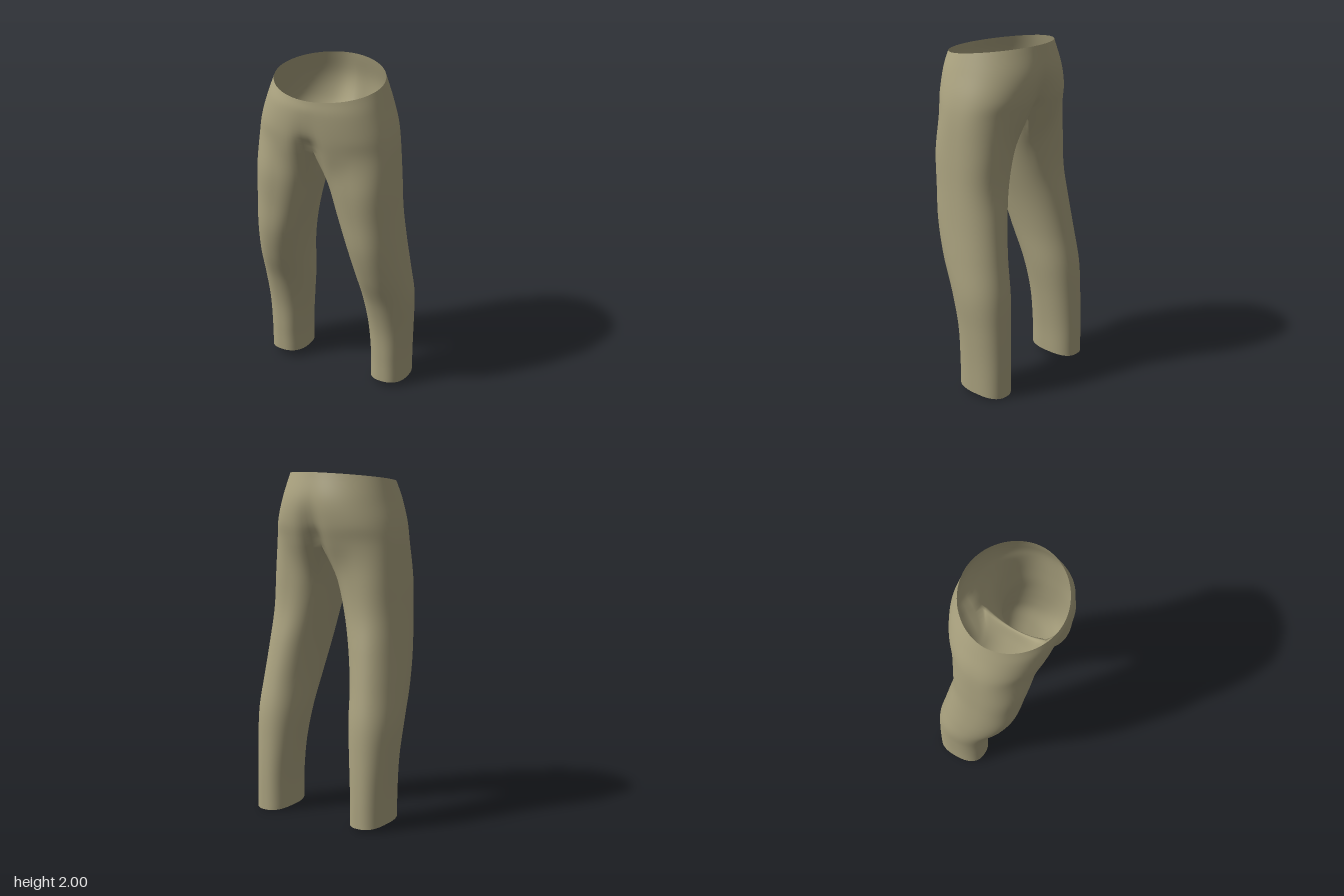
import * as THREE from 'three';
import { mergeVertices } from 'three/addons/utils/BufferGeometryUtils.js';

const OUTER = 48, INNER = 16, STEPS = 6; // columns round the outside, round the inner thigh, rows per key ring
const FORK = 0.27 * Math.PI;             // angle on the leg where the inner thigh begins

// hips, from waist to crotch: y, half width, front z, back z, centre dip front, centre dip back, roundness
const HIPS = [
  [1.963, 0.318, 0.307, -0.272, 0, 0, 1.04],
  [1.85, 0.352, 0.312, -0.303, 0, 0.012, 0.95],
  [1.72, 0.39, 0.302, -0.292, 0.015, 0.035, 0.88],
  [1.6, 0.41, 0.28, -0.255, 0.06, 0.065, 0.82],
];
// legs, from thigh to hem: y, inner x, outer x, front z, back z, roundness
const LEGS = [
  [1.4, 0.03, 0.425, 0.245, -0.197, 0.85],
  [1.2, 0.085, 0.436, 0.226, -0.193, 0.88],
  [1.0, 0.135, 0.45, 0.205, -0.22, 0.92],
  [0.8, 0.17, 0.466, 0.152, -0.25, 0.95],
  [0.6, 0.19, 0.477, 0.075, -0.28, 0.95],
  [0.4, 0.215, 0.466, 0.028, -0.29, 0.9],
  [0.2, 0.233, 0.457, 0.014, -0.295, 0.85],
  [0.03, 0.237, 0.454, 0.01, -0.295, 0.8],
];

const power = (v, e) => Math.sign(v) * Math.abs(v) ** e;

// Half ring of the hips: t = 0 at centre front, 1 at centre back
function hipPoint(key, t) {
  const [y, w, front, back, dipF, dipB, e] = HIPS[key];
  const s = t === 0 || t === 1 ? 0 : Math.sin(Math.PI * t), c = Math.cos(Math.PI * t);
  const x = w * power(s, e), mid = 0.02;
  const groove = Math.exp(-((x / 0.07) ** 2));
  const z = c > 0 ? mid + (front - mid) * power(c, e) - dipF * groove
    : mid + (mid - back) * power(c, e) + dipB * groove;
  return new THREE.Vector3(x, key === 0 ? y - 0.037 * c : y, z); // waist is higher at the back
}

// Full ring of one leg
function legPoint(key, angle, hemLift) {
  const [y, inner, outer, front, back, e] = LEGS[key];
  const s = Math.sin(angle), c = Math.cos(angle);
  const hem = key === LEGS.length - 1 ? 0.02 * c + hemLift : 0;
  return new THREE.Vector3(
    (inner + outer) / 2 + (outer - inner) / 2 * power(s, e), y + hem,
    (front + back) / 2 + (front - back) / 2 * power(c, e));
}

// Seam under the crotch: s = 0 at the back, 1 at the front
function saddlePoint(s) {
  const front = hipPoint(HIPS.length - 1, 0), back = hipPoint(HIPS.length - 1, 1);
  return new THREE.Vector3(0, 1.6 - 0.1 * Math.sin(Math.PI * s) ** 0.8,
    THREE.MathUtils.lerp(back.z, front.z, s));
}

// Smooth column of points through its keys, skipping the first `skip` keys
function sample(keys, skip) {
  const curve = new THREE.CatmullRomCurve3(keys, false, 'catmullrom', 0.5);
  const spans = keys.length - 1, points = [];
  for (let i = skip * STEPS; i <= spans * STEPS; i++) points.push(curve.getPoint(i / (spans * STEPS)));
  return points;
}

function columnPoints(j, hemLift) {
  const outside = j <= OUTER;
  const angle = outside ? -FORK + (Math.PI + 2 * FORK) * j / OUTER
    : Math.PI + FORK + (Math.PI - 2 * FORK) * (j - OUTER) / INNER;
  const leg = LEGS.map((_, k) => legPoint(k, angle, hemLift));
  if (outside) {
    const points = sample([...HIPS.map((_, k) => hipPoint(k, j / OUTER)), ...leg], 0);
    // centre seams stay on the middle plane down to the crotch
    if (j === 0 || j === OUTER) for (let r = 0; r <= (HIPS.length - 1) * STEPS; r++) points[r].x = 0;
    return points;
  }
  // a mirrored key ahead of the seam carries the surface smoothly across
  const ghost = leg[0].clone().setX(-leg[0].x);
  const points = sample([ghost, saddlePoint((j - OUTER) / INNER), ...leg], 1);
  points[0].x = 0;
  return points;
}

export function createModel() {
  const positions = [], index = [];
  const crotchRow = (HIPS.length - 1) * STEPS;
  const rows = (HIPS.length + LEGS.length - 1) * STEPS;

  for (const side of [1, -1]) {
    const ids = [];
    for (let j = 0; j < OUTER + INNER; j++) {
      const points = columnPoints(j, side > 0 ? -0.008 : 0.006);
      const first = rows + 1 - points.length;
      ids[j] = [];
      points.forEach((p, i) => {
        ids[j][first + i] = positions.length / 3;
        positions.push(p.x === 0 ? 0 : side * p.x, p.y, p.z);
      });
    }
    ids.push(ids[0]);
    for (let j = 0; j < OUTER + INNER; j++) {
      for (let r = j < OUTER ? 0 : crotchRow; r < rows; r++) {
        const a = ids[j][r], b = ids[j + 1][r], c = ids[j][r + 1], d = ids[j + 1][r + 1];
        if (side > 0) index.push(a, c, b, b, c, d);
        else index.push(a, b, c, b, d, c);
      }
    }
  }

  // Weld the halves so the shading runs across the centre seam
  let geometry = new THREE.BufferGeometry();
  geometry.setAttribute('position', new THREE.Float32BufferAttribute(positions, 3));
  geometry.setIndex(index);
  geometry = mergeVertices(geometry, 1e-4);
  geometry.computeVertexNormals();

  const cloth = new THREE.MeshStandardMaterial({ color: 0xaaa27f, side: THREE.DoubleSide });
  const trousers = new THREE.Mesh(geometry, cloth);
  trousers.name = 'trousers';
  const group = new THREE.Group();
  group.name = 'trousersModel';
  group.add(trousers);
  return group;
}
